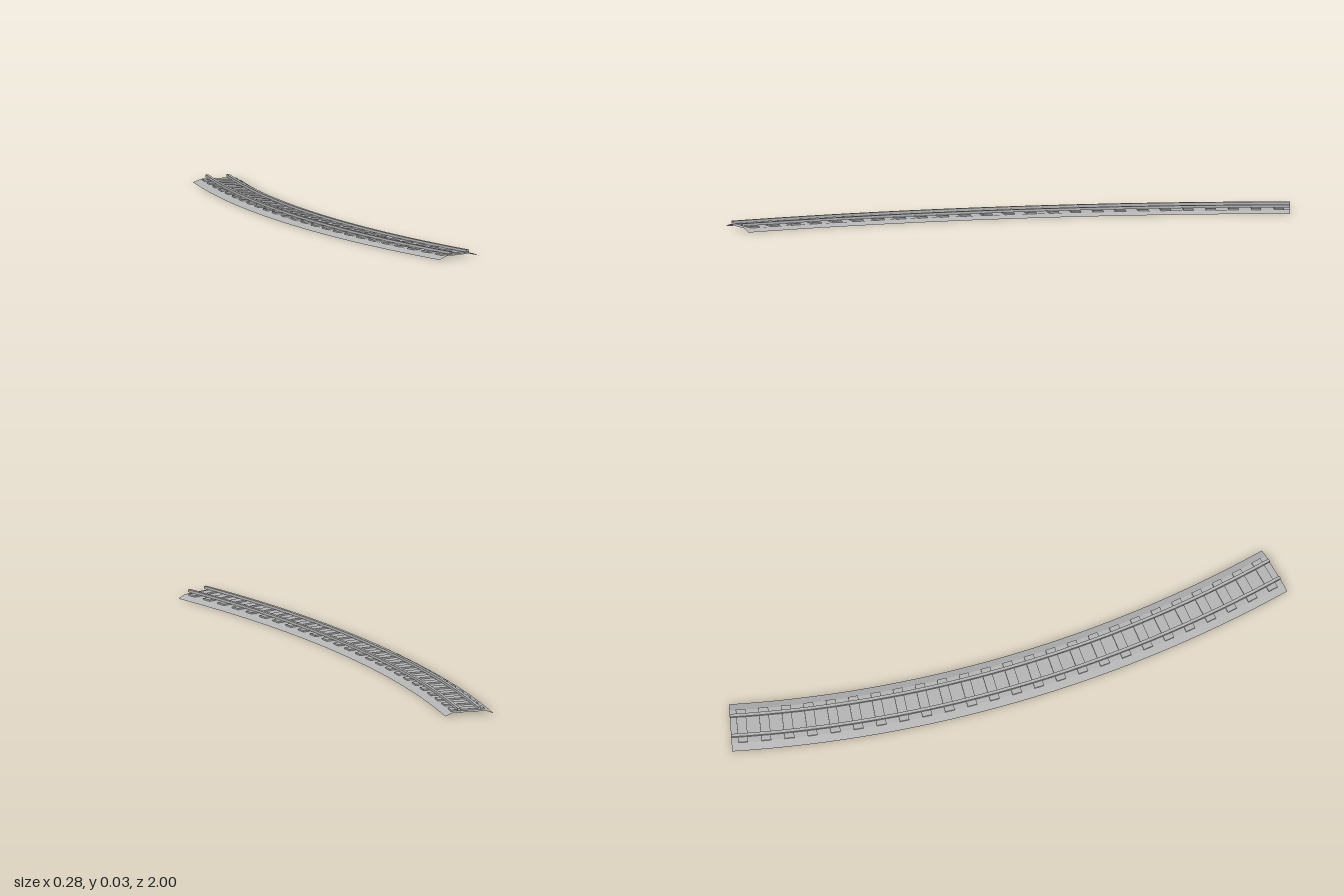
import * as THREE from 'three';

const HALF_ANGLE = 0.231;   // half of the arc swept by the track
const HALF_WIDTH = 0.0865;  // half width of the ballast at the ground
const HALF_TOP = 0.0592;    // half width of the ballast's flat top
const RADIUS = 4.368 - HALF_WIDTH;
const CENTRE_X = 4.2255;    // centre of the curve
const BALLAST_Y = 0.0105, TIE_Y = 0.016, RAIL_Y = 0.025;
const SEGMENTS = 32, TIES = 25;

// Bend a strip lying along z (-1..1) into the arc of the track
function bend(geometry) {
  const p = geometry.attributes.position;
  for (let i = 0; i < p.count; i++) {
    const r = RADIUS - p.getX(i), a = p.getZ(i) * HALF_ANGLE;
    p.setX(i, CENTRE_X - r * Math.cos(a));
    p.setZ(i, r * Math.sin(a));
  }
  geometry.computeVertexNormals();
  return geometry;
}

export function createModel() {
  const model = new THREE.Group();
  model.name = 'curvedTrack';
  const grey = new THREE.MeshStandardMaterial({ color: 0xb3b3b3, side: THREE.DoubleSide });
  grey.name = 'plain grey';

  const add = (name, geometry, parent = model) => {
    const mesh = new THREE.Mesh(geometry, grey);
    mesh.name = name;
    parent.add(mesh);
    return mesh;
  };

  // Ballast bed: open shell with a flat top and two sloping shoulders
  const bed = new THREE.PlaneGeometry(2, 2, 3, SEGMENTS).rotateX(-Math.PI / 2).toNonIndexed();
  const p = bed.attributes.position;
  for (let i = 0; i < p.count; i++) {
    const x = p.getX(i), outer = Math.abs(x) > 0.9;
    p.setX(i, Math.sign(x) * (outer ? HALF_WIDTH : HALF_TOP));
    p.setY(i, outer ? 0 : BALLAST_Y);
  }
  add('ballastBed', bend(bed));

  // Two rails following the curve
  for (const [name, side] of [['outerRail', -1], ['innerRail', 1]]) {
    const rail = new THREE.BoxGeometry(0.0105, RAIL_Y - TIE_Y, 2, 1, 1, SEGMENTS);
    rail.translate(side * 0.0365, (RAIL_Y + TIE_Y) / 2, 0);
    add(name, bend(rail));
  }

  // Evenly spaced cross ties
  const ties = new THREE.Group();
  ties.name = 'ties';
  model.add(ties);
  const bottom = BALLAST_Y + 0.0002;
  const tieGeometry = new THREE.BoxGeometry(0.12, TIE_Y - bottom, 0.034);
  for (let i = 0; i < TIES; i++) {
    const a = ((i + 0.5) / TIES * 2 - 1) * HALF_ANGLE;
    const tie = add('tie', tieGeometry, ties);
    tie.position.set(CENTRE_X - RADIUS * Math.cos(a), (TIE_Y + bottom) / 2, RADIUS * Math.sin(a));
    tie.rotation.y = a;
  }
  return model;
}
